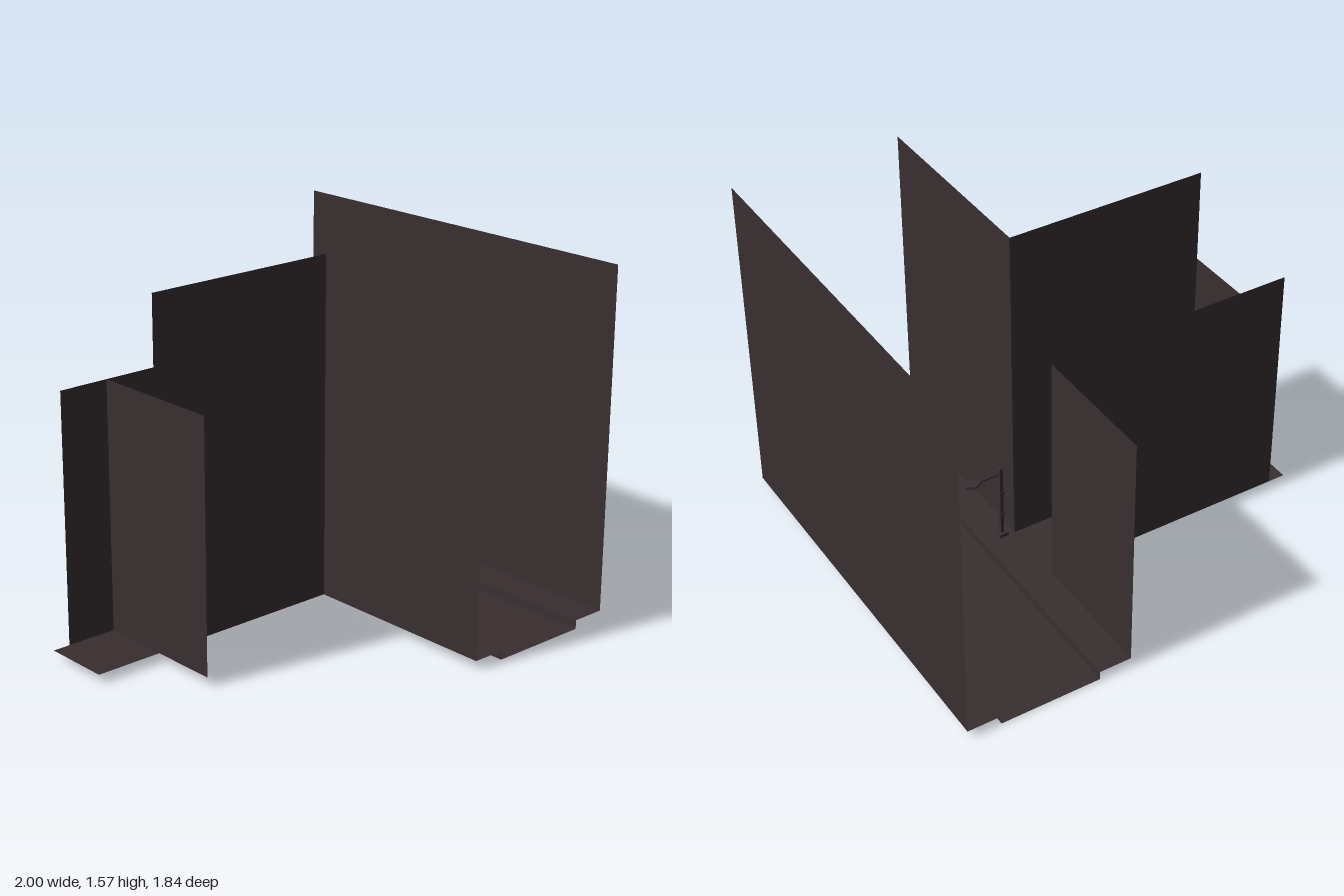
import * as THREE from 'three';

const DOWN = 0.04; // pavement height above the road

export function createModel() {
  const model = new THREE.Group();
  model.name = 'streetCorner';
  const asphalt = new THREE.MeshStandardMaterial({ color: 0x382e30, side: THREE.DoubleSide });
  asphalt.name = 'darkAsphalt';

  const add = (parent, name, geometry, x = 0, y = 0, z = 0) => {
    const mesh = new THREE.Mesh(geometry, asphalt);
    mesh.name = name;
    mesh.position.set(x, y, z);
    parent.add(mesh);
    return mesh;
  };
  // Flat ground sheet
  const ground = (name, x0, x1, z0, z1, y) =>
    add(model, name, new THREE.PlaneGeometry(x1 - x0, z1 - z0).rotateX(-Math.PI / 2),
      (x0 + x1) / 2, y, (z0 + z1) / 2);
  // Upright sheet running along z
  const wallZ = (name, x, z0, z1, y0, y1) =>
    add(model, name, new THREE.PlaneGeometry(z1 - z0, y1 - y0).rotateY(Math.PI / 2),
      x, (y0 + y1) / 2, (z0 + z1) / 2);
  // Upright sheet running along x
  const wallX = (name, z, x0, x1, y0, y1) =>
    add(model, name, new THREE.PlaneGeometry(x1 - x0, y1 - y0),
      (x0 + x1) / 2, (y0 + y1) / 2, z);

  // Road, curbs, pavements and alley floor
  ground('road', 0.38, 0.845, -0.92, 0.92, 0);
  ground('rightPavement', 0.23, 0.38, -0.92, 0.92, DOWN);
  ground('leftPavement', 0.845, 1, -0.92, 0.92, DOWN);
  wallZ('rightCurb', 0.38, -0.92, 0.92, 0, DOWN);
  wallZ('leftCurb', 0.845, -0.92, 0.92, 0, DOWN);
  ground('alleyFloor', -1, 0.23, -0.31, 0, DOWN);

  // Building walls
  wallZ('streetWall', 1, -0.92, 0.92, DOWN, 1.575);
  wallZ('frontBuildingStreetWall', 0.23, 0, 0.92, DOWN, 1.575);
  wallX('frontBuildingAlleyWall', 0, -0.69, 0.23, DOWN, 1.575);
  wallZ('backBuildingStreetWall', 0.23, -0.92, -0.31, DOWN, 1.15);
  wallX('backBuildingAlleyWall', -0.31, -0.92, 0.23, DOWN, 1.15);
  wallZ('alleyEndWall', -0.69, -0.31, 0.31, DOWN, 1.15);

  // Street lamps, arms reaching over the road
  const head = new THREE.Shape([
    [-0.038, -0.01], [0, -0.028], [0.038, -0.01], [0.038, 0.01], [0, 0.028], [-0.038, 0.01],
  ].map(([x, y]) => new THREE.Vector2(x, y)));
  for (const [name, x, side] of [['rightLamp', 0.283, 1], ['leftLamp', 0.945, -1]]) {
    const lamp = new THREE.Group();
    lamp.name = name;
    lamp.position.set(x, DOWN, 0.02);
    add(lamp, 'lampBase', new THREE.BoxGeometry(0.046, 0.016, 0.046), 0, 0.008);
    add(lamp, 'lampPost', new THREE.BoxGeometry(0.016, 0.37, 0.016), 0, 0.185);
    for (const y of [0.12, 0.235])
      add(lamp, 'lampCollar', new THREE.BoxGeometry(0.023, 0.014, 0.023), 0, y);
    add(lamp, 'lampArm', new THREE.BoxGeometry(0.12, 0.007, 0.007), side * 0.06, 0.34);
    add(lamp, 'lampHead',
      new THREE.ExtrudeGeometry(head, { depth: 0.012, bevelEnabled: false }).rotateX(-Math.PI / 2),
      side * 0.138, 0.334);
    model.add(lamp);
  }
  return model;
}
